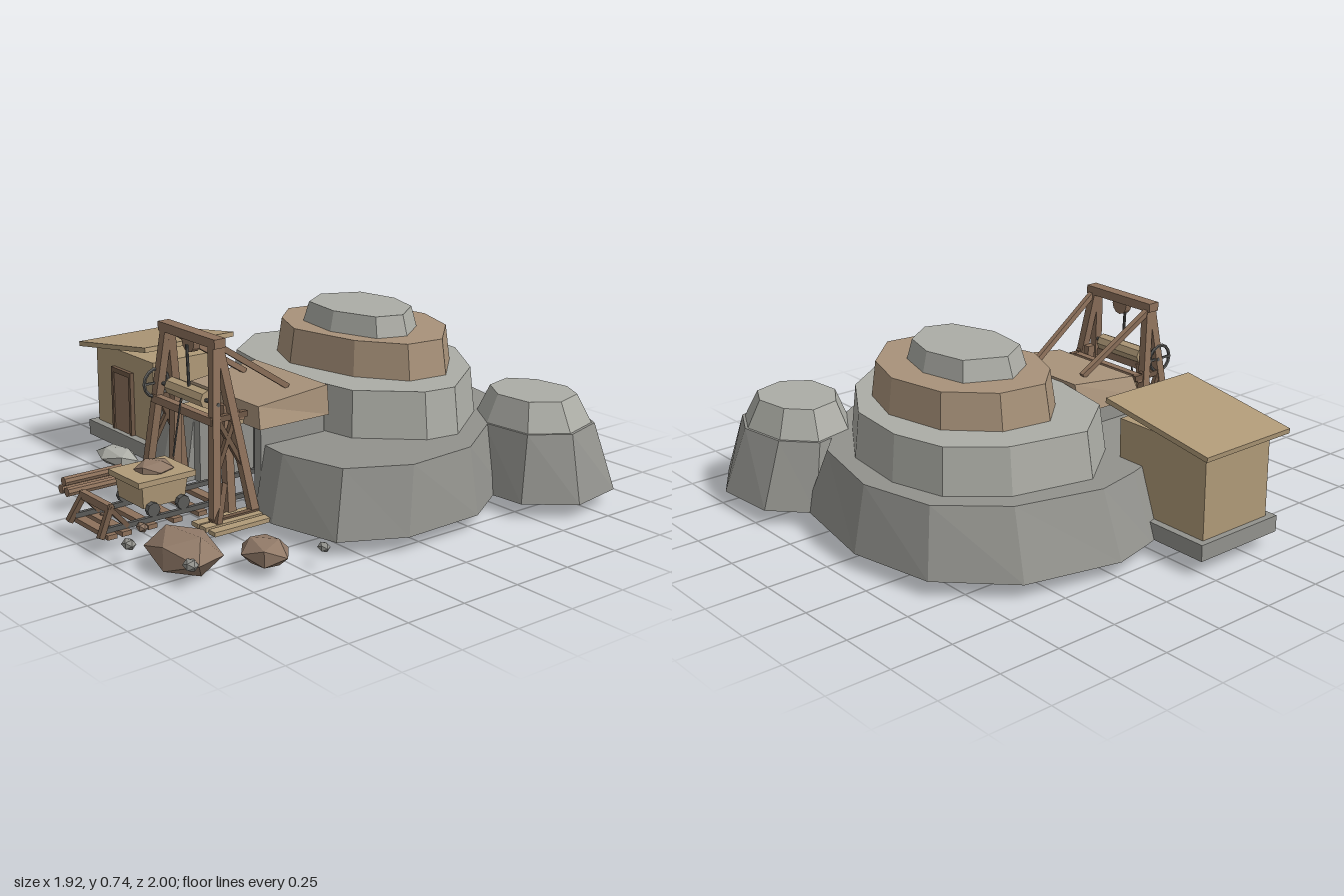
import * as THREE from 'three';

const GREY = 0x92928d, PALE = 0xacada6, TAN = 0xa8927a, WALL = 0xb09a78, WOOD = 0x8d715b, DARK = 0x6f5846, IRON = 0x5a5a58, EARTH = 0x917a68;
const GROUND = 0.075;

export function createModel() {
  const root = new THREE.Group();
  const mats = {};
  const mat = (c) => (mats[c] ??= new THREE.MeshStandardMaterial({ color: c, flatShading: true }));
  const add = (name, geo, color, x = 0, y = 0, z = 0) => {
    const m = new THREE.Mesh(geo, mat(color));
    m.name = name;
    m.position.set(x, y, z);
    root.add(m);
    return m;
  };
  // Box given by its minimum and maximum on each axis
  const box = (name, color, x0, x1, y0, y1, z0, z1) =>
    add(name, new THREE.BoxGeometry(x1 - x0, y1 - y0, z1 - z0), color, (x0 + x1) / 2, (y0 + y1) / 2, (z0 + z1) / 2);
  // Square timber or round bar between two points
  const beam = (name, color, a, b, w, round = false) => {
    const p = new THREE.Vector3(...a), q = new THREE.Vector3(...b), len = p.distanceTo(q);
    const geo = round ? new THREE.CylinderGeometry(w / 2, w / 2, len, 8) : new THREE.BoxGeometry(w, len, w);
    const m = add(name, geo, color);
    m.position.copy(p).lerp(q, 0.5);
    m.quaternion.setFromUnitVectors(new THREE.Vector3(0, 1, 0), q.sub(p).normalize());
    return m;
  };
  // Faceted block between two [x, z] outlines, clockwise seen from above
  const tier = (name, color, lo, hi, y0, y1) => {
    const pos = [];
    const put = (p, y) => pos.push(p[0], y, p[1]);
    lo.forEach((p, i) => {
      const j = (i + 1) % lo.length;
      put(p, y0); put(hi[i], y1); put(hi[j], y1);
      put(p, y0); put(hi[j], y1); put(lo[j], y0);
    });
    for (const [ring, y, up] of [[lo, y0, false], [hi, y1, true]]) {
      const faces = THREE.ShapeUtils.triangulateShape(ring.map((p) => new THREE.Vector2(...p)), []);
      for (const [a, b, c] of faces) {
        const [A, B, C] = [ring[a], ring[b], ring[c]];
        const ny = (B[1] - A[1]) * (C[0] - A[0]) - (B[0] - A[0]) * (C[1] - A[1]);
        for (const p of (ny > 0) === up ? [A, B, C] : [A, C, B]) put(p, y);
      }
    }
    const geo = new THREE.BufferGeometry();
    geo.setAttribute('position', new THREE.Float32BufferAttribute(pos, 3));
    geo.computeVertexNormals();
    return add(name, geo, color);
  };
  const inset = (ring, s, cx, cz) => ring.map(([x, z]) => [cx + (x - cx) * s, cz + (z - cz) * s]);

  // Stepped mound, its lowest tier notched for the entrance
  const base = [[-0.08, -0.93], [0.37, -0.85], [0.62, -0.55], [0.8, -0.25], [0.81, 0.1], [0.69, 0.34], [0.4, 0.41], [0.27, 0.39],
    [0.27, 0.08], [-0.17, 0.08], [-0.17, 0.4], [-0.29, 0.44], [-0.46, 0.4], [-0.58, 0.34], [-0.71, -0.04], [-0.76, -0.24], [-0.67, -0.62], [-0.43, -0.86]];
  const baseTop = [[-0.07, -0.87], [0.29, -0.79], [0.54, -0.57], [0.75, -0.25], [0.77, 0.05], [0.65, 0.28], [0.39, 0.35], [0.27, 0.34],
    [0.27, 0.08], [-0.17, 0.08], [-0.17, 0.36], [-0.28, 0.39], [-0.42, 0.36], [-0.5, 0.31], [-0.62, -0.05], [-0.66, -0.24], [-0.57, -0.58], [-0.37, -0.8]];
  tier('moundBase', GREY, base, baseTop, GROUND, 0.33);
  const second = [[-0.12, -0.78], [0.16, -0.75], [0.43, -0.58], [0.61, -0.32], [0.59, -0.18], [0.4, 0.03], [0, 0.1], [-0.39, 0.02], [-0.57, -0.21], [-0.5, -0.53], [-0.34, -0.72]];
  tier('moundSecondTier', PALE, second, inset(second, 0.955, 0.02, -0.34), 0.33, 0.51);
  const third = [[0.06, -0.66], [0.27, -0.59], [0.44, -0.41], [0.42, -0.24], [0.24, -0.11], [-0.07, -0.04], [-0.26, -0.12], [-0.38, -0.25], [-0.35, -0.45], [-0.19, -0.61]];
  tier('moundThirdTier', TAN, third, inset(third, 0.945, 0.03, -0.35), 0.51, 0.65);
  const crown = [[0.03, -0.52], [0.2, -0.47], [0.3, -0.33], [0.26, -0.21], [0.06, -0.14], [-0.15, -0.17], [-0.24, -0.31], [-0.16, -0.48]];
  tier('moundCrown', PALE, crown, inset(crown, 0.9, 0.03, -0.33), 0.65, 0.73);

  // Side mound
  const side = [[0.46, -0.98], [0.72, -1], [0.92, -0.87], [0.96, -0.63], [0.82, -0.46], [0.58, -0.44], [0.36, -0.58], [0.31, -0.84]];
  const sideTop = [[0.49, -0.88], [0.69, -0.91], [0.83, -0.84], [0.88, -0.66], [0.78, -0.52], [0.57, -0.5], [0.41, -0.6], [0.37, -0.77]];
  tier('sideMoundBase', GREY, side, sideTop, GROUND, 0.33);
  tier('sideMoundTop', PALE, inset(sideTop, 0.95, 0.63, -0.7), inset(sideTop, 0.72, 0.62, -0.69), 0.33, 0.44);

  // Entrance: side walls, dark back, hood roof
  for (const x of [-0.17, 0.23]) box('entranceWall', GREY, x, x + 0.04, GROUND, 0.41, 0.06, 0.36);
  box('entranceBack', IRON, -0.14, 0.24, GROUND, 0.33, 0.07, 0.1);
  box('entranceLintel', PALE, -0.14, 0.24, 0.33, 0.41, 0.07, 0.12);
  const hood = tier('entranceHood', TAN,
    [[-0.2, 0.06], [0.3, 0.06], [0.3, 0.385], [-0.2, 0.385]], [[-0.17, 0.06], [0.29, 0.06], [0.27, 0.37], [-0.17, 0.37]], 0.405, 0.52);
  const hp = hood.geometry.attributes.position;
  for (let i = 0; i < hp.count; i++) if (hp.getY(i) > 0.5 && hp.getZ(i) > 0.2) hp.setY(i, 0.485);
  hood.geometry.computeVertexNormals();

  // Hut with a sloping roof
  box('hutFoundation', GREY, -0.945, -0.48, GROUND, 0.14, -0.02, 0.38);
  box('hutWalls', WALL, -0.92, -0.48, 0.14, 0.485, 0.01, 0.345);
  beam('hutRoof', WALL, [-0.962, 0.478, 0.187], [-0.442, 0.556, 0.187], 0.02).scale.z = 21.8;
  box('hutDoor', WOOD, -0.765, -0.645, 0.13, 0.39, 0.34, 0.357);
  for (const x of [-0.78, -0.645]) box('doorJamb', DARK, x, x + 0.015, 0.13, 0.41, 0.34, 0.363);
  box('doorHead', DARK, -0.78, -0.63, 0.39, 0.41, 0.34, 0.363);

  // Headframe, mirrored about its own centre line
  const cx = 0.045;
  for (const s of [-1, 1]) {
    const X = (d) => cx + s * d;
    beam('frontLeg', WOOD, [X(0.235), GROUND, 0.58], [X(0.155), 0.74, 0.515], 0.033);
    beam('backLeg', WOOD, [X(0.235), GROUND, 0.4], [X(0.155), 0.74, 0.505], 0.033);
    beam('innerPost', WOOD, [X(0.185), GROUND, 0.475], [X(0.16), 0.5, 0.475], 0.035);
    beam('backStay', WOOD, [X(0.135), 0.51, 0.17], [X(0.165), 0.73, 0.51], 0.022);
    beam('sideBrace', DARK, [X(0.215), 0.24, 0.565], [X(0.19), 0.48, 0.445], 0.018);
    beam('sideBrace', DARK, [X(0.215), 0.24, 0.42], [X(0.19), 0.48, 0.545], 0.018);
    beam('sideRail', DARK, [X(0.19), 0.46, 0.4], [X(0.19), 0.46, 0.56], 0.022);
    beam('footSill', DARK, [X(0.24), GROUND + 0.012, 0.38], [X(0.24), GROUND + 0.012, 0.6], 0.024);
    beam('footStrut', DARK, [X(0.27), GROUND + 0.01, 0.59], [X(0.18), 0.2, 0.5], 0.022);
  }
  box('topBeam', WOOD, cx - 0.185, cx + 0.185, 0.72, 0.755, 0.485, 0.535);
  for (const z of [0.43, 0.55]) box('crossBeam', WOOD, cx - 0.2, cx + 0.2, 0.44, 0.47, z - 0.015, z + 0.015);
  box('hoistPlatform', WALL, cx - 0.15, cx + 0.15, 0.405, 0.425, 0.37, 0.47);

  // Pulley, winch and rope
  add('pulley', new THREE.CylinderGeometry(0.04, 0.04, 0.03, 12), WOOD, cx, 0.71, 0.51).rotation.x = Math.PI / 2;
  beam('winchDrum', WALL, [cx - 0.12, 0.515, 0.52], [cx + 0.12, 0.515, 0.52], 0.07, true);
  beam('winchAxle', IRON, [cx - 0.2, 0.515, 0.53], [cx + 0.2, 0.515, 0.53], 0.016, true);
  add('handWheel', new THREE.TorusGeometry(0.055, 0.007, 5, 14), IRON, cx - 0.19, 0.515, 0.545).rotation.y = Math.PI / 2;
  for (let i = 0; i < 2; i++) {
    const a = i * Math.PI / 2, dy = 0.055 * Math.cos(a), dz = 0.055 * Math.sin(a);
    beam('wheelSpoke', IRON, [cx - 0.19, 0.515 - dy, 0.545 - dz], [cx - 0.19, 0.515 + dy, 0.545 + dz], 0.008);
  }
  beam('rope', IRON, [cx, 0.7, 0.53], [cx + 0.01, 0.54, 0.53], 0.012, true);
  beam('rope', IRON, [cx, 0.5, 0.56], [cx, 0.28, 0.6], 0.007, true);

  // Track with sleepers and end stop
  for (const z of [0.45, 0.56, 0.67, 0.78, 0.89, 0.95]) box('sleeper', WOOD, cx - 0.13, cx + 0.13, GROUND, 0.093, z - 0.02, z + 0.02);
  for (const s of [-1, 1]) {
    const x = cx + s * 0.1;
    box('rail', IRON, x - 0.008, x + 0.008, 0.093, 0.112, 0.1, 0.97);
    beam('stopPost', DARK, [x + s * 0.01, 0.08, 0.99], [x - s * 0.01, 0.19, 0.93], 0.022);
    beam('stopStrut', DARK, [x, 0.1, 0.87], [x - s * 0.005, 0.18, 0.94], 0.018);
    // Wheels of the cart
    for (const z of [0.63, 0.76]) beam('cartWheel', IRON, [x - 0.01, 0.137, z], [x + 0.01, 0.137, z], 0.055, true);
  }
  box('stopBar', WOOD, cx - 0.1, cx + 0.1, 0.165, 0.195, 0.925, 0.95);

  // Ore cart with a load
  const body = [[cx - 0.095, 0.6], [cx + 0.095, 0.6], [cx + 0.095, 0.8], [cx - 0.095, 0.8]];
  tier('cartBody', WALL, inset(body, 0.9, cx, 0.7), body, 0.14, 0.235);
  box('cartRim', WALL, cx - 0.105, cx + 0.105, 0.228, 0.25, 0.57, 0.82);

  // Faceted rocks: position, radii, colour
  const rock = (name, color, x, y, z, rx, ry, rz, turn = 0.4, detail = 0) => {
    const m = add(name, new THREE.IcosahedronGeometry(1, detail).rotateY(turn), color, x, y, z);
    m.scale.set(rx, ry, rz);
  };
  rock('cartOre', EARTH, cx + 0.005, 0.255, 0.69, 0.065, 0.038, 0.08);
  rock('largeBoulder', EARTH, 0.44, 0.088, 0.825, 0.17, 0.085, 0.125, 0.2);
  rock('mediumBoulder', EARTH, 0.62, 0.088, 0.605, 0.108, 0.058, 0.088, 0.8);
  rock('paleBoulder', PALE, -0.59, 0.085, 0.46, 0.125, 0.04, 0.075, 1);
  for (const [x, z, r] of [[0.73, 0.43, 0.026], [0.29, 0.955, 0.03], [0.58, 0.89, 0.032]]) rock('greyStone', GREY, x, 0.095, z, r, r * 0.75, r * 0.85);
  for (const [x, z, r] of [[0.18, 0.83, 0.026], [0.275, 0.745, 0.018], [-0.02, 0.875, 0.012]]) rock('brownStone', EARTH, x, 0.095, z, r, r * 0.8, r * 0.8);

  // Stacked logs and loose planks
  for (const [x, y] of [[-0.345, 0.098], [-0.3, 0.098], [-0.322, 0.135]]) beam('log', WOOD, [x, y, 0.605], [x, y, 0.865], 0.038, true);
  for (const x of [0.255, 0.305, 0.362]) box('plank', WALL, x - 0.021, x + 0.021, GROUND, 0.092, 0.36, 0.65);

  return root;
}
